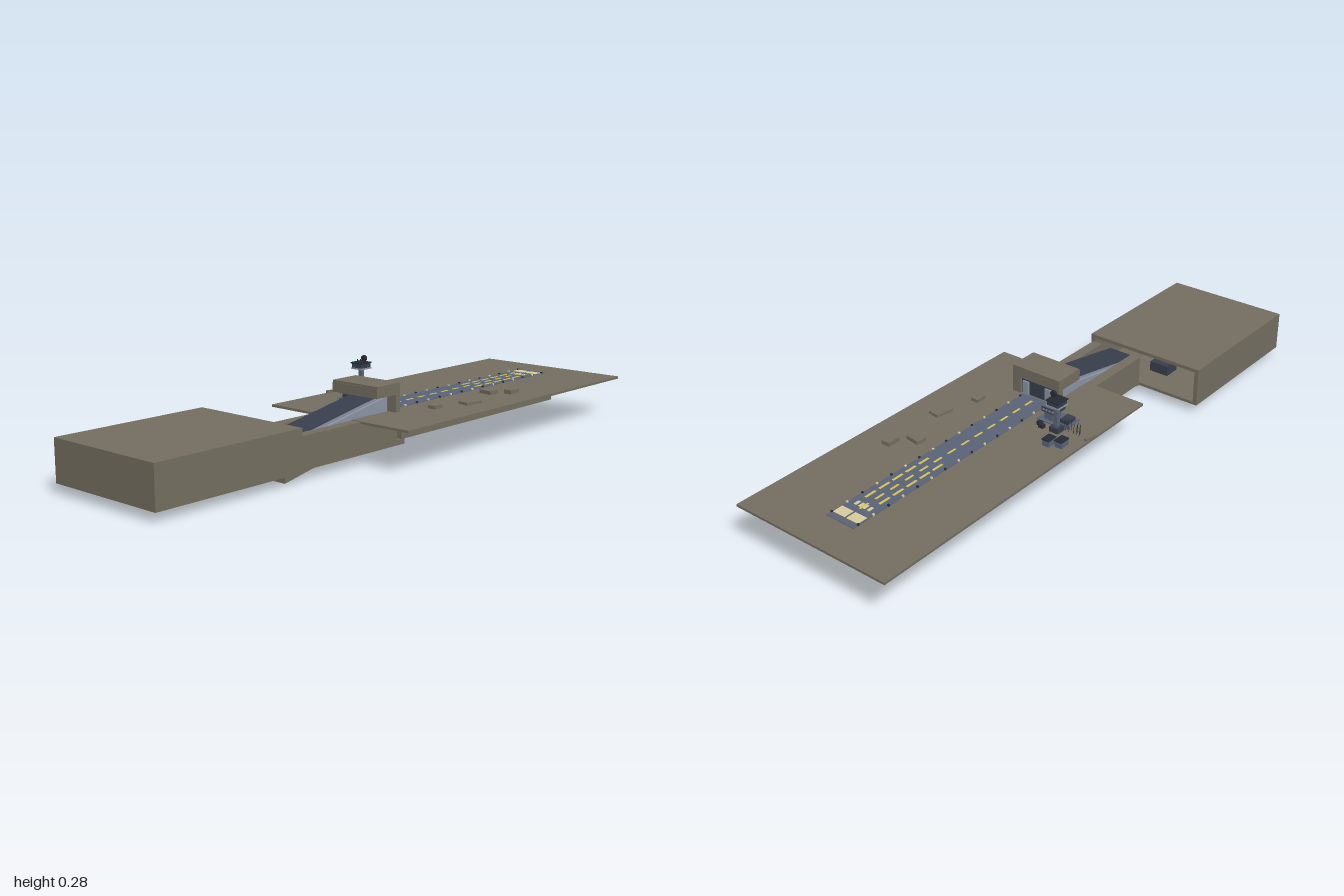
import * as THREE from 'three';

const mat = (name, color) => Object.assign(new THREE.MeshStandardMaterial({ color }), { name });

export function createModel() {
  const rock = mat('rock brown', 0x726d5f);
  const tarmac = mat('runway blue grey', 0x596276);
  const slate = mat('dark slate', 0x373e4b);
  const pale = mat('pale blue grey', 0x8a92a2);
  const metal = mat('dark metal', 0x262b34);
  const yellow = mat('marking yellow', 0xd2c050);
  const cream = mat('marking cream', 0xd6ca98);

  const root = new THREE.Group();
  root.name = 'undergroundAirbase';
  const add = (name, geometry, material, parent = root) => {
    const m = new THREE.Mesh(geometry, material);
    m.name = name;
    parent.add(m);
    return m;
  };
  const group = (name) => {
    const g = new THREE.Group();
    g.name = name;
    root.add(g);
    return g;
  };
  // Box from its limits on each axis
  const box = (name, material, [x0, x1], [y0, y1], [z0, z1], parent) => {
    const m = add(name, new THREE.BoxGeometry(x1 - x0, y1 - y0, z1 - z0), material, parent);
    m.position.set((x0 + x1) / 2, (y0 + y1) / 2, (z0 + z1) / 2);
    return m;
  };
  // Side profile of [z, y] points, extruded from x0 to x1
  const prism = (name, material, points, x0, x1, parent) => {
    const shape = new THREE.Shape(points.map(([z, y]) => new THREE.Vector2(-z, y)));
    const geo = new THREE.ExtrudeGeometry(shape, { depth: x1 - x0, bevelEnabled: false });
    geo.rotateY(Math.PI / 2).translate(x0, 0, 0);
    return add(name, geo, material, parent);
  };

  // Ground plate and the solid keel under the runway
  box('groundPlate', rock, [-0.27, 0.313], [0.132, 0.14], [-1, 0.19]);
  box('runwayKeel', rock, [-0.08, 0.12], [0.05, 0.133], [-0.855, -0.006]);

  // Hollow hangar, open towards the back
  const hangar = group('hangar');
  box('hangarRoof', rock, [-0.315, 0.128], [0.153, 0.165], [0.45, 1], hangar);
  box('hangarFloor', rock, [-0.315, 0.128], [0.03, 0.04], [0.45, 1], hangar);
  box('hangarRightWall', rock, [-0.315, -0.3], [0.04, 0.153], [0.45, 1], hangar);
  box('hangarLeftWall', rock, [0.113, 0.128], [0.04, 0.153], [0.45, 1], hangar);
  box('hangarFrontWall', rock, [-0.3, 0.113], [0.04, 0.153], [0.985, 1], hangar);
  box('hangarCabin', slate, [-0.18, -0.11], [0.09, 0.125], [0.47, 0.53], hangar);

  // Corridor walls and floor beside the ramp
  const corridor = group('corridor');
  box('corridorFloor', rock, [-0.08, 0.12], [0.033, 0.05], [-0.02, 0.45], corridor);
  for (const [x0, x1] of [[-0.08, -0.043], [0.083, 0.12]])
    box('corridorWall', rock, [x0, x1], [0.05, 0.138], [0.018, 0.45], corridor);

  // Sloping ramp tunnel: pale sides, dark top
  const ramp = group('ramp');
  prism('rampTunnel', [pale, slate], [[0.02, 0.197], [0.49, 0.11], [0.49, 0.05], [0.02, 0.13]], -0.033, 0.073, ramp);
  for (const x of [-0.042, 0.073])
    prism('rampSideWall', pale, [[0.02, 0.188], [0.49, 0.101], [0.49, 0.05], [0.02, 0.13]], x, x + 0.009, ramp);
  prism('rampFoot', rock, [[0.495, 0], [0.495, 0.035], [0.32, 0.035]], -0.053, 0.097, ramp);

  // Gatehouse with its overhanging roof and the runway door
  const gate = group('gatehouse');
  box('gateRoof', rock, [-0.073, 0.117], [0.197, 0.228], [0, 0.11], gate);
  box('gateRoofCap', rock, [-0.073, 0.117], [0.228, 0.235], [0, 0.108], gate);
  for (const [x0, x1] of [[-0.073, -0.042], [0.085, 0.117]])
    box('gatePier', rock, [x0, x1], [0.138, 0.197], [0, 0.02], gate);
  box('gateDoor', slate, [-0.042, 0.085], [0.14, 0.197], [0.008, 0.02], gate);
  for (const x of [-0.036, 0.055])
    box('gateDoorPanel', pale, [x, x + 0.024], [0.14, 0.187], [0.002, 0.008], gate);

  // Runway with its markings and edge lights
  const runway = group('runway');
  box('runwaySurface', tarmac, [-0.035, 0.073], [0.139, 0.142], [-0.88, 0], runway);
  const mark = (name, material, x, z, w, l) =>
    box(name, material, [x - w / 2, x + w / 2], [0.1415, 0.1432], [z - l / 2, z + l / 2], runway);
  for (const x of [-0.007, 0.046]) mark('thresholdBlock', cream, x, -0.84, 0.046, 0.036);
  for (let i = 0; i < 13; i++) mark('centreDash', yellow, 0.019, -0.785 + i * 0.062, 0.007, 0.035);
  for (const x of [-0.008, 0.048])
    for (let i = 0; i < 5; i++) mark('sideDash', yellow, x, -0.73 + i * 0.056, 0.008, 0.042);
  for (const x of [-0.006, 0.012, 0.028, 0.046]) mark('thresholdTick', cream, x, -0.785, 0.01, 0.02);
  for (const x of [-0.033, 0.071])
    for (let i = 0; i < 15; i++)
      box('edgeLight', i % 2 ? cream : metal, [x - 0.003, x + 0.003], [0.14, 0.146],
        [-0.863 + i * 0.06, -0.857 + i * 0.06], runway);

  // Flat boulders: x, z, width, length, height, turn
  const boulders = group('boulders');
  [[0.203, -0.487, 0.03, 0.048, 0.014, 0], [0.15, -0.428, 0.052, 0.036, 0.013, -0.15],
    [0.205, -0.253, 0.04, 0.068, 0.009, -0.15], [0.165, -0.12, 0.028, 0.038, 0.011, 0],
    [-0.265, -0.09, 0.01, 0.045, 0.008, -0.15]].forEach(([x, z, w, l, h, turn]) => {
    const b = add('boulder', new THREE.BoxGeometry(w, h, l), rock, boulders);
    b.position.set(x, 0.14 + h / 2, z);
    b.rotation.y = turn;
  });

  // Control tower
  const tower = group('controlTower');
  const tx = -0.155, tz = -0.118;
  const block = (name, material, w, y0, y1) =>
    box(name, material, [tx - w / 2, tx + w / 2], [y0, y1], [tz - w / 2, tz + w / 2], tower);
  block('towerBase', slate, 0.034, 0.14, 0.158);
  block('towerShaft', tarmac, 0.014, 0.158, 0.231);
  block('cabFloor', pale, 0.048, 0.231, 0.236);
  block('cabWindows', slate, 0.044, 0.236, 0.25);
  block('cabRoof', metal, 0.05, 0.25, 0.254);
  const mast = add('radarMast', new THREE.CylinderGeometry(0.003, 0.004, 0.012, 8), metal, tower);
  mast.position.set(-0.142, 0.259, tz);
  const dish = add('radarDish', new THREE.CylinderGeometry(0.0105, 0.0105, 0.008, 16), metal, tower);
  dish.rotation.x = Math.PI / 2;
  dish.position.set(-0.142, 0.268, tz);
  for (const [x, h] of [[-0.172, 0.008], [-0.165, 0.005], [-0.158, 0.01]])
    box('roofAerial', metal, [x, x + 0.0015], [0.254, 0.254 + h], [tz, tz + 0.0015], tower);

  // Operations building on its pad
  const ops = group('operationsBuilding');
  box('opsPad', tarmac, [-0.175, -0.06], [0.139, 0.143], [-0.1, -0.022], ops);
  box('opsLowerFloor', tarmac, [-0.113, -0.08], [0.143, 0.17], [-0.085, -0.04], ops);
  box('opsUpperFloor', slate, [-0.125, -0.073], [0.17, 0.188], [-0.09, -0.034], ops);
  box('opsRoof', tarmac, [-0.126, -0.072], [0.188, 0.191], [-0.091, -0.033], ops);
  for (let i = 0; i < 4; i++)
    for (const z of [-0.0905, -0.034])
      box('opsWindow', pale, [-0.121 + i * 0.012, -0.113 + i * 0.012], [0.175, 0.183], [z, z + 0.0005], ops);
  box('opsAnnex', slate, [-0.165, -0.135], [0.143, 0.156], [-0.075, -0.035], ops);
  for (const [x, z] of [[-0.105, -0.13], [-0.09, -0.12], [-0.085, -0.003]])
    box('equipmentCrate', metal, [x - 0.009, x + 0.009], [0.14, 0.152], [z - 0.007, z + 0.007], ops);

  // Two sheds
  for (const [x, z] of [[-0.22, -0.178], [-0.184, -0.195]]) {
    box('shed', tarmac, [x - 0.013, x + 0.013], [0.14, 0.16], [z - 0.018, z + 0.018]);
    box('shedRoof', metal, [x - 0.014, x + 0.014], [0.16, 0.164], [z - 0.019, z + 0.019]);
  }

  // Leaning aerials beside the tower
  const aerials = group('aerials');
  for (let i = 0; i < 10; i++) {
    const x = i < 5 ? -0.23 + i * 0.0055 : -0.19 + (i - 5) * 0.0055;
    const a = add('aerial', new THREE.CylinderGeometry(0.0007, 0.001, 0.038, 5), metal, aerials);
    a.position.set(x, 0.158, -0.1 + (i % 2) * 0.012);
    a.rotation.z = i < 5 ? 0.1 : -0.1;
  }
  return root;
}
